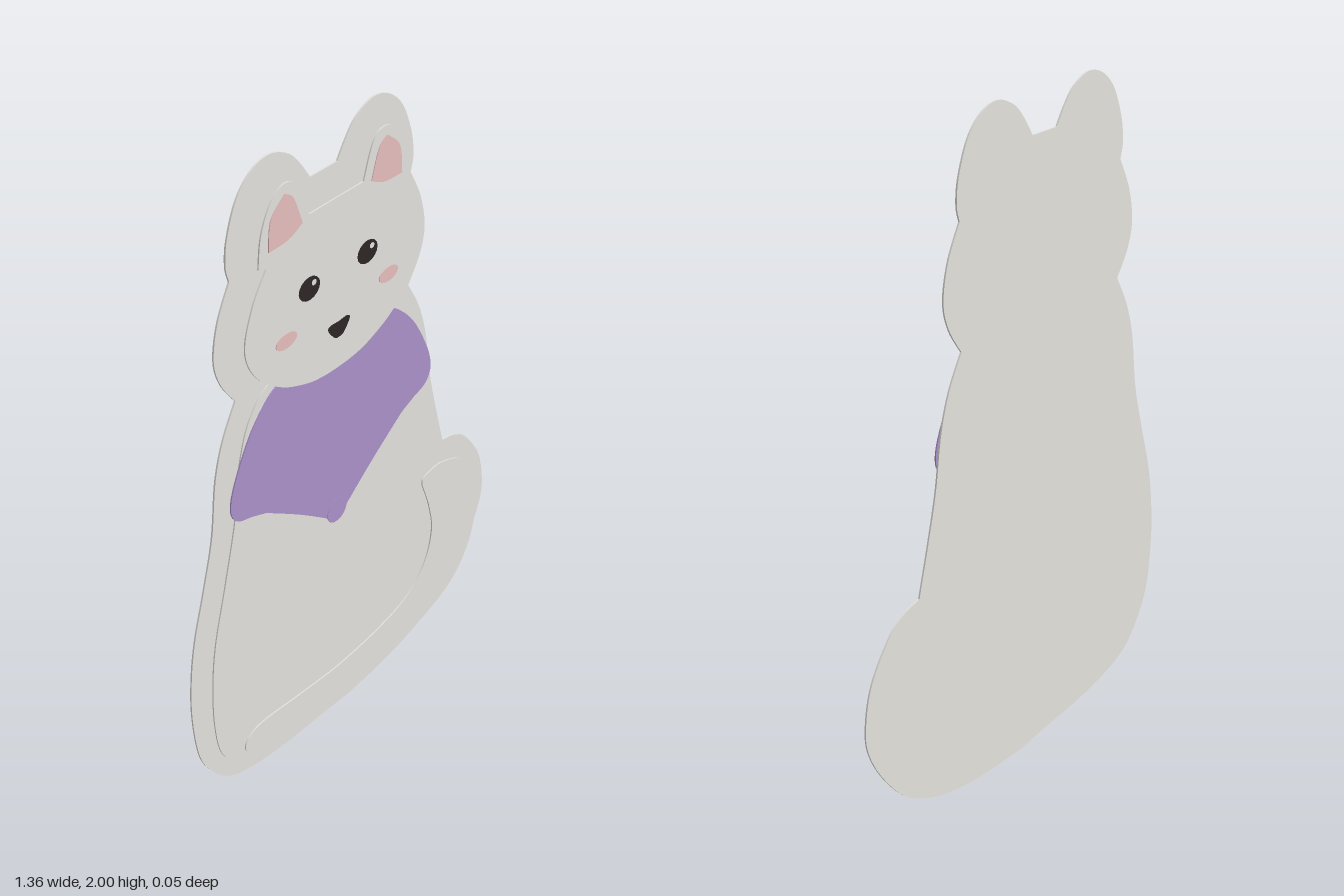
import * as THREE from 'three';

const AXIS = -0.095; // mirror line of the head, ears and scarf

const mat = (name, color) => {
  const m = new THREE.MeshStandardMaterial({ color });
  m.name = name;
  return m;
};

// Outline made of smooth runs of points; runs meet at sharp corners
function outline(runs) {
  const s = new THREE.Shape();
  s.moveTo(...runs[0][0]);
  for (const run of runs) {
    const rest = run.slice(1).map(([x, y]) => new THREE.Vector2(x, y));
    if (rest.length === 1) s.lineTo(rest[0].x, rest[0].y);
    else s.splineThru(rest);
  }
  return s;
}

const flip = ([x, y]) => [2 * AXIS - x, y];
const flipRuns = runs => runs.map(r => r.map(flip).reverse()).reverse();
const symmetric = half => outline([...half, ...flipRuns(half)]);

function ellipse(x, y, rx, ry) {
  return new THREE.Shape().absellipse(x, y, rx, ry, 0, Math.PI * 2);
}

export function createModel() {
  const group = new THREE.Group();
  const fur = mat('warm white', 0xe4e2dd);
  const purple = mat('lavender', 0xaa91ca);
  const pink = mat('soft pink', 0xe6bebe);
  const dark = mat('dark brown', 0x2e2626);

  // Thin sheet cut from a shape, its back at height z
  function sheet(name, shape, material, z, depth = 0.004) {
    const geo = new THREE.ExtrudeGeometry(shape, { depth, bevelEnabled: false, curveSegments: 8 });
    const mesh = new THREE.Mesh(geo, material);
    mesh.name = name;
    mesh.position.z = z;
    group.add(mesh);
  }

  // Backing: the whole silhouette with a border
  const backHead = [
    [[0.257, 1.376], [0.305, 1.45], [0.325, 1.53], [0.305, 1.63], [0.257, 1.725]],
    [[0.257, 1.725], [0.267, 1.77], [0.258, 1.84], [0.22, 1.93], [0.165, 1.983], [0.1, 2.0],
      [0.035, 1.975], [-0.005, 1.935], [-0.043, 1.88]],
    [[-0.043, 1.88], [AXIS, 1.88]],
  ];
  sheet('backing', outline([
    [[0, 0], [0.13, 0.006], [0.27, 0.023], [0.4, 0.06], [0.52, 0.13], [0.61, 0.24], [0.665, 0.35],
      [0.674, 0.44], [0.645, 0.56], [0.57, 0.67], [0.51, 0.713], [0.447, 0.73]],
    [[0.447, 0.73], [0.405, 0.88], [0.37, 1.02], [0.345, 1.17], [0.31, 1.28], [0.257, 1.376]],
    ...backHead,
    ...flipRuns(backHead),
    [[-0.447, 1.376], [-0.5, 1.28], [-0.535, 1.17], [-0.56, 1.0], [-0.605, 0.84], [-0.648, 0.7],
      [-0.672, 0.57], [-0.68, 0.43], [-0.664, 0.27], [-0.62, 0.17], [-0.55, 0.09], [-0.45, 0.048],
      [-0.3, 0.022], [-0.15, 0.012], [0, 0]],
  ]), fur, -0.028, 0.005);

  // Body
  sheet('body', outline([
    [[0, 0.07], [0.17, 0.08], [0.31, 0.12], [0.395, 0.21], [0.43, 0.35], [0.43, 0.5], [0.4, 0.68],
      [0.35, 0.85], [0.305, 1.02], [0.275, 1.2], [0.22, 1.32], [0.13, 1.385], [AXIS, 1.4],
      [-0.32, 1.385], [-0.41, 1.32], [-0.46, 1.2], [-0.49, 1.02], [-0.54, 0.83], [-0.59, 0.65],
      [-0.611, 0.5], [-0.613, 0.35], [-0.592, 0.23], [-0.53, 0.15], [-0.43, 0.1], [-0.25, 0.08], [0, 0.07]],
  ]), fur, -0.009);

  // Tail curling across the feet
  sheet('tail', outline([
    [[0.315, 0.645], [0.315, 0.67], [0.35, 0.682], [0.41, 0.68], [0.5, 0.64], [0.575, 0.55],
      [0.609, 0.43], [0.585, 0.28], [0.52, 0.175], [0.43, 0.12], [0.3, 0.085], [0.15, 0.073], [0, 0.072],
      [-0.22, 0.083], [-0.4, 0.115], [-0.485, 0.155], [-0.507, 0.19], [-0.485, 0.222], [-0.42, 0.235],
      [-0.25, 0.215], [-0.07, 0.2], [0.13, 0.213], [0.26, 0.25], [0.34, 0.33], [0.37, 0.44],
      [0.35, 0.55], [0.315, 0.645]],
  ]), fur, 0.001);

  // Scarf with a small knob at its point
  sheet('scarf', symmetric([
    [[AXIS, 0.8], [-0.055, 0.812]],
    [[-0.055, 0.812], [0.06, 0.9], [0.195, 0.993]],
    [[0.195, 0.993], [0.25, 1.015], [0.305, 1.035], [0.328, 1.08], [0.31, 1.155], [0.245, 1.275],
      [0.175, 1.35], [0.13, 1.375]],
    [[0.13, 1.375], [AXIS, 1.38]],
  ]), purple, 0.006);
  sheet('scarfKnob', ellipse(AXIS, 0.82, 0.042, 0.04), purple, 0.009, 0.002);

  // Head with both ears
  sheet('head', symmetric([
    [[AXIS, 1.31], [-0.04, 1.312], [0.03, 1.325], [0.13, 1.368], [0.22, 1.445], [0.257, 1.54],
      [0.225, 1.65], [0.17, 1.735]],
    [[0.17, 1.735], [0.198, 1.745]],
    [[0.198, 1.745], [0.185, 1.83], [0.15, 1.9], [0.1, 1.935], [0.05, 1.912], [0.01, 1.815]],
    [[0.01, 1.815], [AXIS, 1.815]],
  ]), fur, 0.014);

  // Face details, mirrored left and right
  const innerEar = [[[0.1, 1.91], [0.068, 1.885], [0.038, 1.805]], [[0.038, 1.805], [0.09, 1.782], [0.163, 1.778]],
    [[0.163, 1.778], [0.152, 1.86], [0.1, 1.91]]];
  for (const side of ['left', 'right']) {
    const at = x => (side === 'left' ? x : 2 * AXIS - x);
    sheet(side + 'InnerEar', outline(side === 'left' ? innerEar : flipRuns(innerEar)), pink, 0.019, 0.002);
    sheet(side + 'Cheek', ellipse(at(0.11), 1.5, 0.04, 0.022), pink, 0.021, 0.002);
    sheet(side + 'Eye', ellipse(at(0.02), 1.61, 0.04, 0.033), dark, 0.022, 0.002);
    sheet(side + 'EyeGlint', ellipse(at(0.02) + 0.016, 1.622, 0.009, 0.008), fur, 0.0245, 0.001);
  }

  // Nose
  sheet('nose', symmetric([
    [[AXIS, 1.408], [-0.078, 1.412], [-0.056, 1.438], [-0.053, 1.452], [-0.065, 1.457]],
    [[-0.065, 1.457], [AXIS, 1.455]],
  ]), dark, 0.021, 0.002);

  return group;
}
